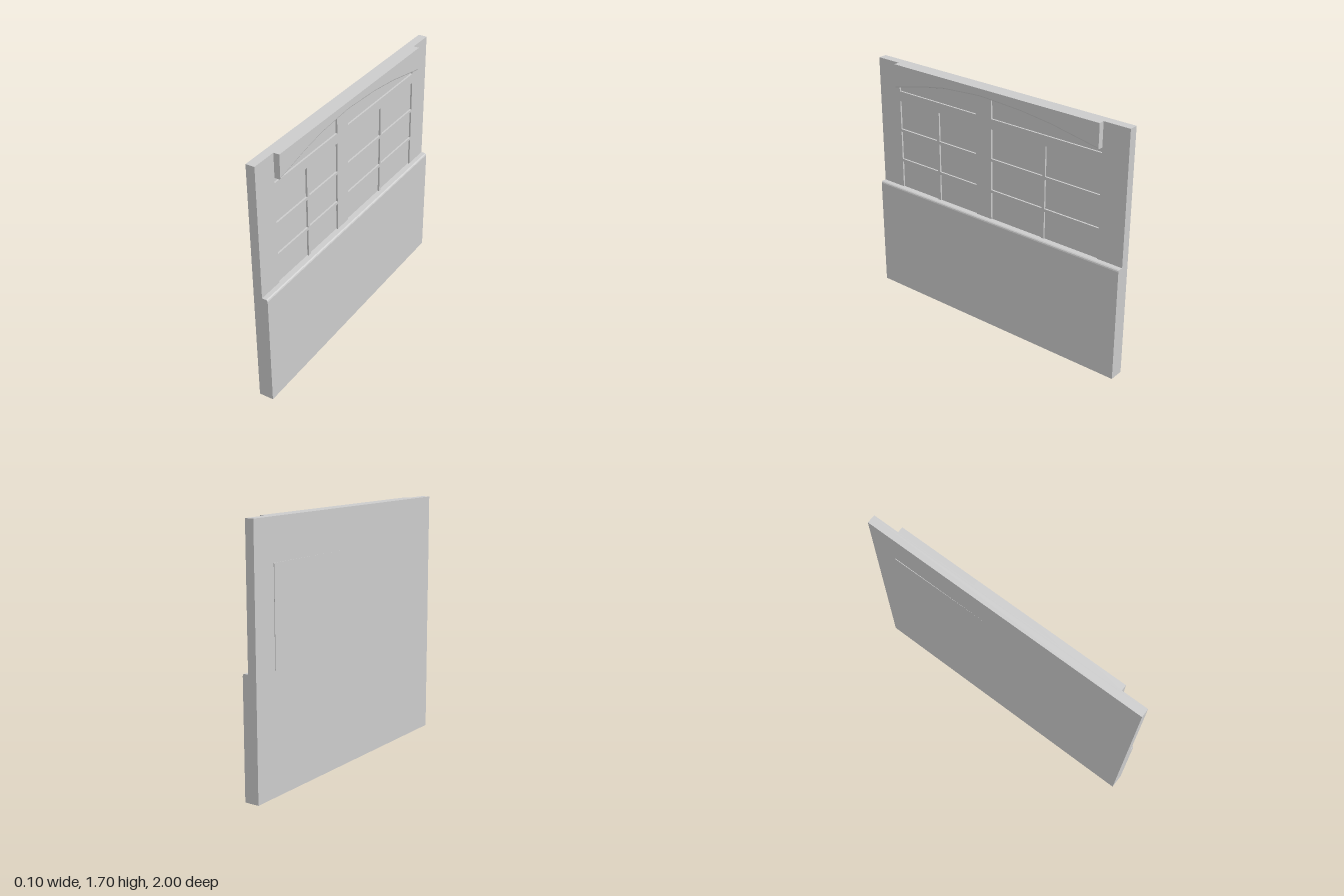
import * as THREE from 'three';

const BACK = -0.05, PANE = -0.002, FACE = 0.01, FRONT = 0.05, TOP = 1.7;

// underside of the arch as [z, y], from +z to -z
const ARCH = [[0.82, 1.535], [0.56, 1.595], [0.39, 1.625], [0.15, 1.642], [0.09, 1.645],
  [0.025, 1.643], [-0.24, 1.628], [-0.47, 1.6], [-0.815, 1.535]];

// flat-faced solid through counter-clockwise [x, y] sections at rising z
function loft(stations) {
  const pos = [];
  const put = (s, i) => pos.push(s.pts[i][0], s.pts[i][1], s.z);
  const n = stations[0].pts.length;
  for (let k = 0; k < stations.length - 1; k++) {
    const a = stations[k], b = stations[k + 1];
    for (let i = 0; i < n; i++) {
      const j = (i + 1) % n;
      put(a, i); put(a, j); put(b, j);
      put(a, i); put(b, j); put(b, i);
    }
  }
  const first = stations[0], last = stations[stations.length - 1];
  for (let i = 1; i < n - 1; i++) {
    put(first, 0); put(first, i + 1); put(first, i);
    put(last, 0); put(last, i); put(last, i + 1);
  }
  const g = new THREE.BufferGeometry();
  g.setAttribute('position', new THREE.Float32BufferAttribute(pos, 3));
  g.computeVertexNormals();
  return g;
}

// closed outline from [z, y] points, turned so that extruding runs along +x
const outline = (pts) => pts.map(([z, y]) => new THREE.Vector2(-z, y));
const rect = (z0, z1, y0, y1) => outline([[z0, y0], [z1, y0], [z1, y1], [z0, y1]]);

export function createModel() {
  const group = new THREE.Group();
  const grey = new THREE.MeshStandardMaterial({ color: 0xcccccc });
  grey.name = 'light grey';
  const add = (name, geometry) => {
    const mesh = new THREE.Mesh(geometry, grey);
    mesh.name = name;
    group.add(mesh);
    return mesh;
  };

  // rear slab, which also forms the panes at the bottom of each recess
  add('wallSlab', new THREE.BoxGeometry(PANE - BACK, TOP, 2))
    .position.set((BACK + PANE) / 2, TOP / 2, 0);

  // facing layer with window openings
  const facing = new THREE.Shape(rect(1, -1, 0, TOP));
  const cut = (pts) => facing.holes.push(new THREE.Path(pts));
  const columns = [[0.82, 0.493], [0.471, 0.15], [0.025, -0.385], [-0.405, -0.815]];
  const rows = [[0.79, 0.985], [1.004, 1.207], [1.226, 1.43]];
  for (const [z0, z1] of columns) {
    for (const [y0, y1] of rows) cut(rect(z0, z1, y0, y1));
  }
  // two upper lights under the arch, either side of the centre post
  for (const [z0, z1] of [[0.82, 0.15], [0.025, -0.815]]) {
    const curve = ARCH.filter(([z]) => z <= z0 && z >= z1).reverse();
    cut(outline([[z0, 1.5], [z1, 1.5], ...curve]));
  }
  const facingGeometry = new THREE.ExtrudeGeometry(facing, { depth: FACE - PANE, bevelEnabled: false });
  facingGeometry.rotateY(Math.PI / 2);
  add('windowFacing', facingGeometry).position.x = PANE;

  // lower panel with an eased top edge
  const panel = [[FACE, 0], [FRONT, 0], [FRONT, 0.78], [0.047, 0.788], [0.04, 0.793], [FACE, 0.793]];
  add('lowerPanel', loft([{ z: -1, pts: panel }, { z: 1, pts: panel }]));

  // arched valance with an eased lower edge
  add('archedValance', loft([...ARCH].reverse().map(([z, a]) => ({
    z,
    pts: [[FACE, TOP], [FACE, a], [0.04, a], [0.047, a + 0.003], [FRONT, a + 0.01], [FRONT, TOP]],
  }))));

  // slightly skewed window unit showing through the rear face
  const sliver = (x) => [[x, 0.79], [-0.045, 0.79], [-0.045, 1.43], [x, 1.43]];
  add('windowBack', loft([{ z: -0.82, pts: sliver(-0.054) }, { z: -0.09, pts: sliver(-0.05) }]));

  return group;
}
